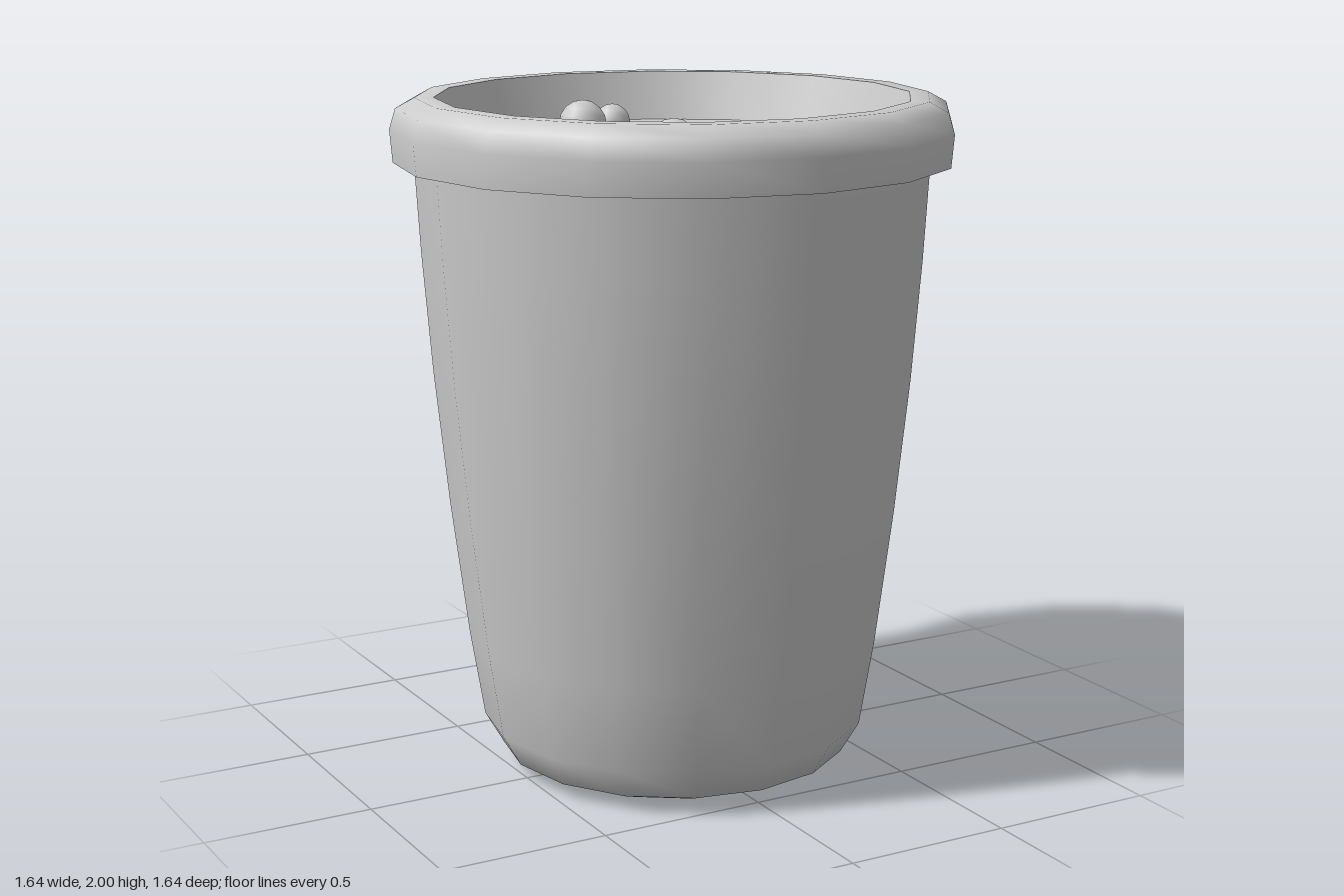
import * as THREE from 'three';

const SIDES = 16;
const LIQUID_Y = 1.855;

export function createModel() {
  const group = new THREE.Group();
  const grey = new THREE.MeshStandardMaterial({ color: 0xcccccc });
  grey.name = 'plain grey';

  const add = (name, geometry, parent = group) => {
    const mesh = new THREE.Mesh(geometry, grey);
    mesh.name = name;
    parent.add(mesh);
    return mesh;
  };

  // Turned surface; each profile is smooth, separate profiles meet in a crease
  const turned = (name, profile) =>
    add(name, new THREE.LatheGeometry(profile.map(([r, y]) => new THREE.Vector2(r, y)), SIDES));

  // Cup body
  turned('cupBase', [[0, 0], [0.41, 0]]);
  turned('cupWall', [
    [0.41, 0], [0.52, 0.045], [0.575, 0.14], [0.617, 0.4], [0.667, 0.8],
    [0.708, 1.2], [0.735, 1.55], [0.75, 1.815],
  ]);

  // Thick rolled rim
  turned('rimUnderside', [[0.745, 1.815], [0.81, 1.815]]);
  turned('rim', [[0.81, 1.815], [0.818, 1.91], [0.8, 1.97], [0.745, 2], [0.69, 2]]);
  turned('innerWall', [[0.69, 2], [0.645, LIQUID_Y]]);

  // Liquid surface
  turned('liquid', [[0.648, LIQUID_Y], [0, LIQUID_Y]]);

  // Bubbles floating half submerged: x, z, radius
  const bubbles = new THREE.Group();
  bubbles.name = 'bubbles';
  group.add(bubbles);
  const ball = new THREE.SphereGeometry(1, 10, 8);
  [
    [0, 0, 0.077], [-0.09, 0.207, 0.043],
    [0.205, 0.15, 0.05], [0.255, 0.227, 0.062], [0.313, 0.207, 0.042],
    [0, -0.577, 0.075], [0.11, -0.59, 0.056],
    [-0.58, -0.045, 0.071], [-0.475, -0.06, 0.058], [-0.522, -0.12, 0.044],
    [-0.6, 0.06, 0.055], [-0.578, 0.145, 0.043],
  ].forEach(([x, z, r]) => {
    const bubble = add('bubble', ball, bubbles);
    bubble.position.set(x, LIQUID_Y, z);
    bubble.scale.setScalar(r);
  });

  return group;
}
